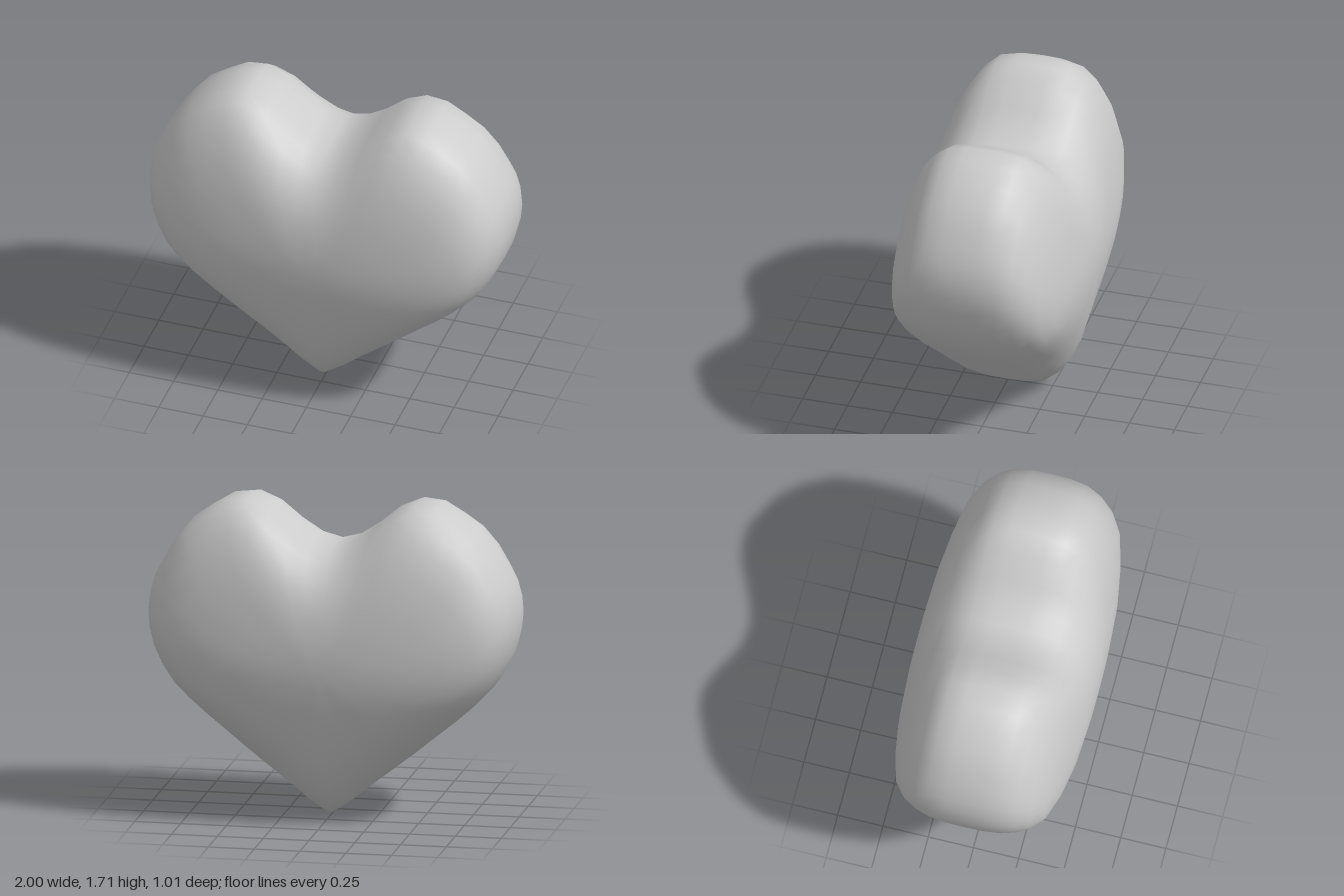
import * as THREE from 'three';

// Right half of the heart outline: [x, middle height, half height]
const OUTLINE = [
  [0, 0.738, 0.733], [0.11, 0.79, 0.71], [0.225, 0.875, 0.70], [0.34, 0.967, 0.703],
  [0.455, 1.037, 0.682], [0.57, 1.078, 0.628], [0.68, 1.09, 0.55], [0.78, 1.1, 0.47],
  [0.865, 1.095, 0.375], [0.925, 1.09, 0.275], [0.968, 1.095, 0.185], [0.992, 1.1, 0.09],
  [1, 1.1, 0],
];
// Rings from the rim to the front: [z, width scale, height scale, rounding to an oval]
const RINGS = [
  [0, 1, 1, 0], [0.1, 0.998, 0.996, 0], [0.2, 0.985, 0.971, 0], [0.28, 0.955, 0.9, 0.03],
  [0.35, 0.905, 0.795, 0.1], [0.41, 0.82, 0.65, 0.25], [0.452, 0.67, 0.49, 0.5],
  [0.482, 0.49, 0.32, 0.8], [0.498, 0.27, 0.16, 1],
];
const CENTRE_Y = 0.87;
const DEPTH = 0.505;

// Whole outline, anticlockwise from the bottom tip: [x, middle height, signed half height]
function heartLoop() {
  const lower = OUTLINE.map(([x, m, h]) => [x, m, -h]);
  const upper = OUTLINE.slice(0, -1).reverse();
  const right = [...lower, ...upper];
  const left = right.slice(1, -1).reverse().map(([x, m, h]) => [-x, m, h]);
  return [...right, ...left];
}

// Loft shrinking, rounding outlines from back to front and close both domes
function heartGeometry() {
  const loop = heartLoop();
  const n = loop.length;
  const back = RINGS.slice(1).reverse().map(([z, ...rest]) => [-z, ...rest]);
  const rings = [...back, ...RINGS];
  const positions = [];
  const index = [];

  for (const [z, sx, sy, round] of rings) {
    for (const [x, middle, half] of loop) {
      const lift = (middle - CENTRE_Y) * (1 - round);
      positions.push(x * sx, CENTRE_Y + sy * (lift + half), z);
    }
  }

  const last = (rings.length - 1) * n;
  const backPole = rings.length * n;
  const frontPole = backPole + 1;
  positions.push(0, CENTRE_Y, -DEPTH, 0, CENTRE_Y, DEPTH);

  for (let j = 0; j < n; j++) {
    const k = (j + 1) % n;
    for (let i = 0; i < last; i += n) {
      const a = i + j, b = i + k;
      index.push(a, b, a + n, b, b + n, a + n);
    }
    index.push(backPole, k, j, frontPole, last + j, last + k);
  }

  const geometry = new THREE.BufferGeometry();
  geometry.setAttribute('position', new THREE.Float32BufferAttribute(positions, 3));
  geometry.setIndex(index);
  geometry.computeVertexNormals();
  return geometry;
}

export function createModel() {
  const model = new THREE.Group();
  model.name = 'heart';
  const body = new THREE.Mesh(heartGeometry(), new THREE.MeshStandardMaterial({ color: 0xcccccc }));
  body.name = 'heartBody';
  model.add(body);
  return model;
}
